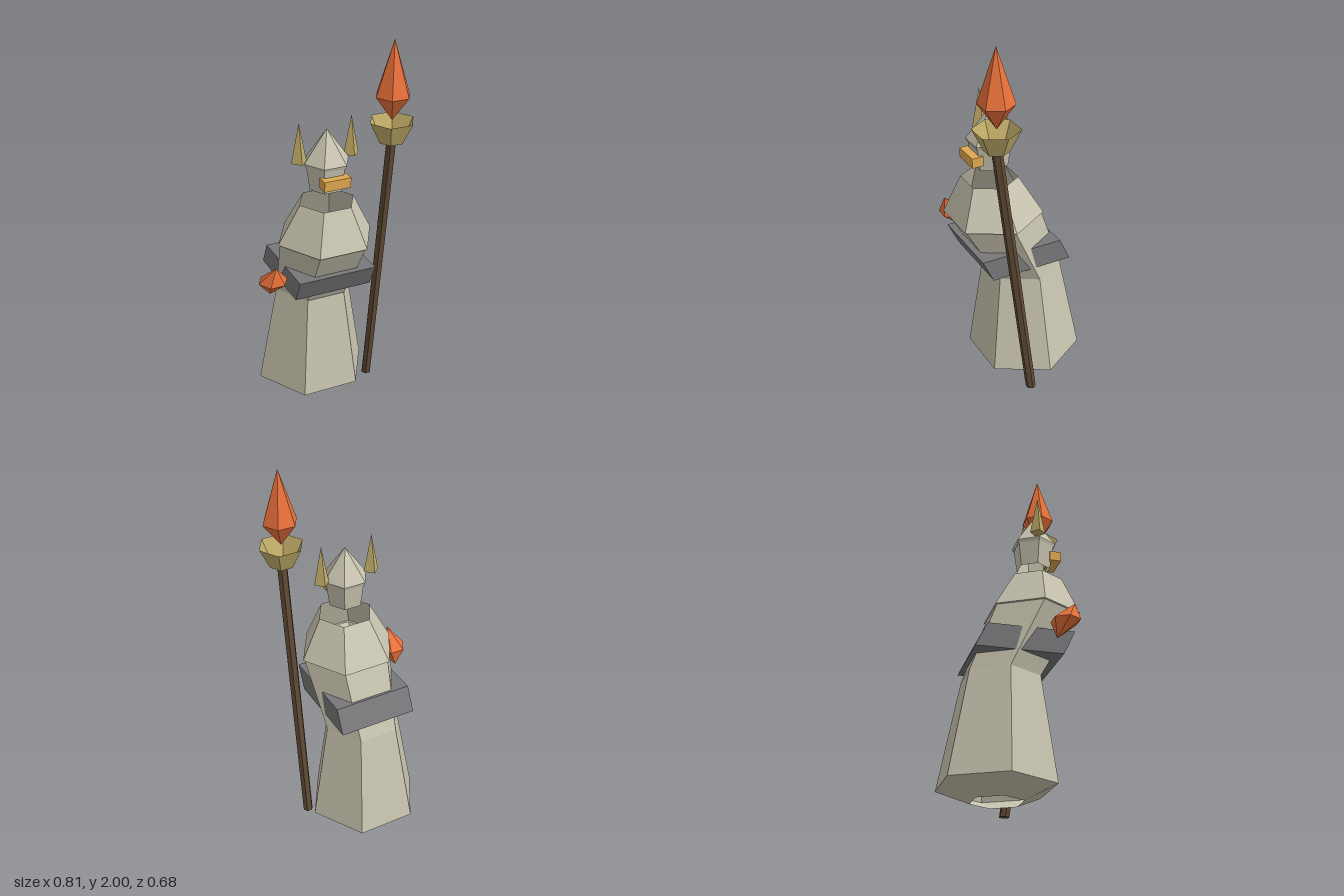
import * as THREE from 'three';

const material = (color) => new THREE.MeshStandardMaterial({ color, flatShading: true, side: THREE.DoubleSide });
const cloth = material(0xc8c4b0);
const leather = material(0x77777a);
const ember = material(0xe8703a);
const brass = material(0xc0ac68);
const gold = material(0xe0a850);
const wood = material(0x5f4a35);

const CENTRE = -0.007;

// Faceted shell through horizontal rings, each given as [y, radius, z centre]
function loft(name, mat, x, rings, sides = 6) {
  const point = ([y, r, z], i) => {
    const a = (i / sides) * Math.PI * 2;
    return [x + r * Math.cos(a), y, z + r * Math.sin(a)];
  };
  const positions = [];
  for (let j = 0; j < rings.length - 1; j++) {
    const [low, high] = [rings[j], rings[j + 1]];
    for (let i = 0; i < sides; i++) {
      if (low[1] > 0) positions.push(...point(low, i), ...point(high, i), ...point(low, i + 1));
      if (high[1] > 0) positions.push(...point(high, i), ...point(high, i + 1), ...point(low, i + 1));
    }
  }
  const geometry = new THREE.BufferGeometry();
  geometry.setAttribute('position', new THREE.Float32BufferAttribute(positions, 3));
  geometry.computeVertexNormals();
  const mesh = new THREE.Mesh(geometry, mat);
  mesh.name = name;
  return mesh;
}

// Box whose top slides forward by the given amount
function slantedBox(name, mat, size, centre, slide) {
  const geometry = new THREE.BoxGeometry(...size);
  const p = geometry.attributes.position;
  for (let i = 0; i < p.count; i++) p.setZ(i, p.getZ(i) + (p.getY(i) / size[1]) * slide);
  geometry.computeVertexNormals();
  const mesh = new THREE.Mesh(geometry, mat);
  mesh.name = name;
  mesh.position.set(...centre);
  return mesh;
}

export function createModel() {
  const model = new THREE.Group();
  model.name = 'hoodedFigure';

  // Hunched robe, open at hem and collar
  model.add(loft('robe', cloth, CENTRE, [
    [0, 0.135, -0.07], [0.07, 0.306, -0.075], [0.62, 0.208, -0.055],
    [0.972, 0.248, 0.108], [0.975, 0.257, 0.108], [1.185, 0.146, 0.128],
  ]));

  // Belt leaning with the back
  model.add(slantedBox('belt', leather, [0.418, 0.125, 0.447], [-0.008, 0.765, 0.021], 0.06));

  // Floating head and pointed hood
  model.add(loft('head', cloth, CENTRE, [[1.255, 0.09, 0.122], [1.385, 0.109, 0.124]]));
  model.add(loft('hood', cloth, CENTRE, [[1.38, 0.113, 0.124], [1.398, 0.119, 0.124], [1.565, 0, 0.124]]));
  model.add(slantedBox('facePlate', gold, [0.141, 0.052, 0.06], [CENTRE, 1.32, 0.225], 0));

  // Pair of horns
  for (const side of [-1, 1]) {
    model.add(loft(side > 0 ? 'leftHorn' : 'rightHorn', brass, CENTRE + side * 0.14,
      [[1.405, 0, 0.108], [1.405, 0.041, 0.108], [1.61, 0, 0.108]], 4));
  }

  // Floating ember beside the right hand
  model.add(loft('ember', ember, -0.329, [[0.73, 0, 0.145], [0.828, 0.076, 0.19], [0.925, 0, 0.238]]));

  // Leaning staff with open cup and crystal
  const staff = new THREE.Group();
  staff.name = 'staff';
  staff.add(
    loft('shaft', wood, 0.286, [[0, 0, 0.041], [0, 0.027, 0.041], [1.49, 0.027, 0.236], [1.49, 0, 0.236]]),
    loft('cup', brass, 0.286, [[1.49, 0.063, 0.236], [1.6, 0.117, 0.236]]),
    loft('crystal', ember, 0.286, [[1.6, 0, 0.236], [1.725, 0.09, 0.236], [2, 0, 0.236]]),
  );
  model.add(staff);
  return model;
}
